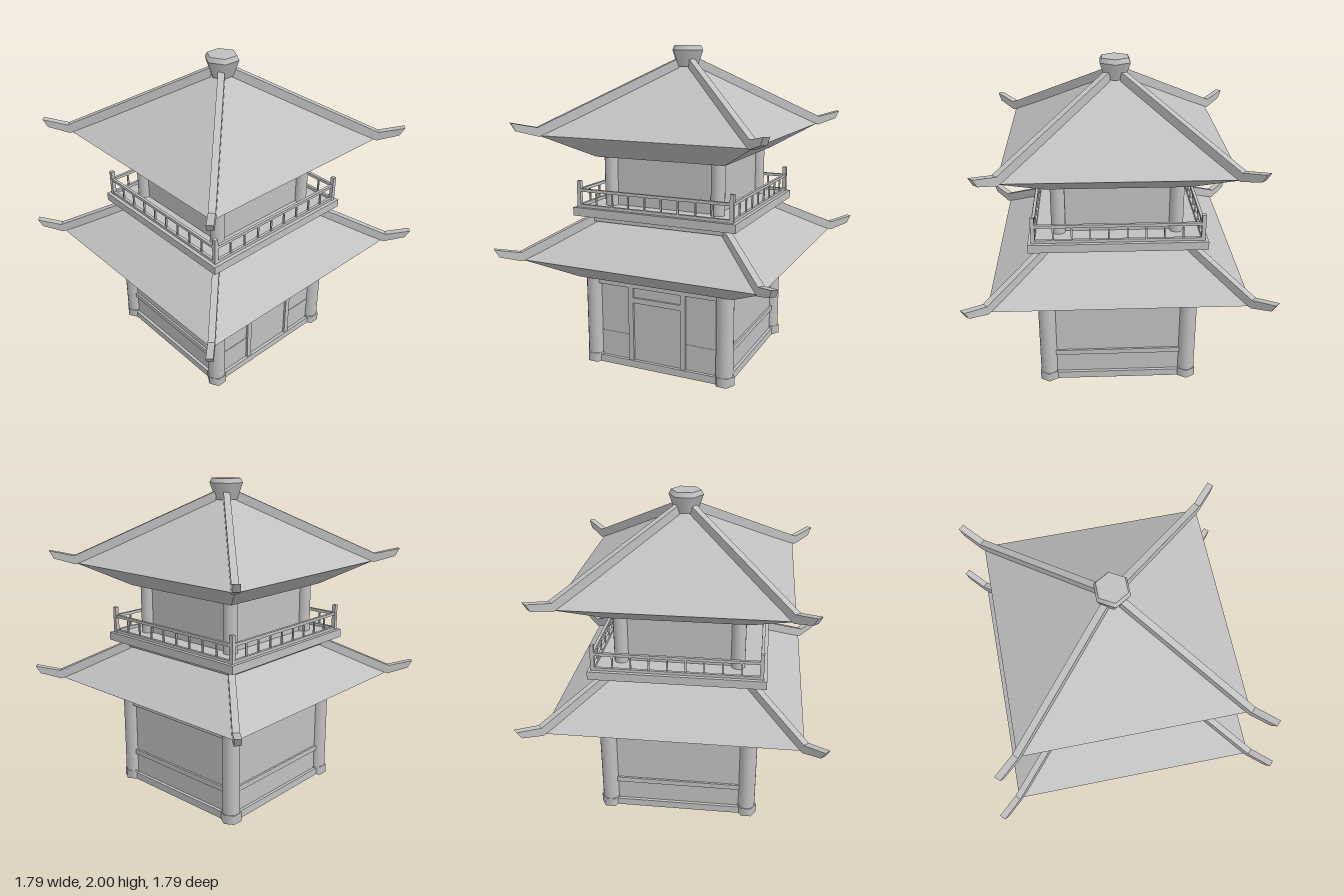
import * as THREE from 'three';

export function createModel() {
  const model = new THREE.Group();
  model.name = 'pavilion';
  const stone = new THREE.MeshStandardMaterial({ color: 0xc0c0c0 });
  stone.name = 'pale grey';

  const add = (parent, name, geometry, x = 0, y = 0, z = 0) => {
    const mesh = new THREE.Mesh(geometry, stone);
    mesh.name = name;
    mesh.position.set(x, y, z);
    parent.add(mesh);
    return mesh;
  };
  // box given by its bottom and top heights
  const box = (parent, name, w, y0, y1, d, x = 0, z = 0) =>
    add(parent, name, new THREE.BoxGeometry(w, y1 - y0, d), x, (y0 + y1) / 2, z);
  // upright cylinder given by its bottom and top heights
  const drum = (parent, name, rTop, rBottom, y0, y1, sides, x = 0, z = 0) => {
    const g = new THREE.CylinderGeometry(rTop, rBottom, y1 - y0, sides);
    g.rotateY(Math.PI / 6);
    return add(parent, name, g, x, (y0 + y1) / 2, z);
  };
  // flat-faced square frustum given by its half widths
  const frustum = (parent, name, top, bottom, y0, y1) => {
    let g = new THREE.CylinderGeometry(top * Math.SQRT2, bottom * Math.SQRT2, y1 - y0, 4);
    g.rotateY(Math.PI / 4);
    g = g.toNonIndexed();
    g.computeVertexNormals();
    return add(parent, name, g, 0, (y0 + y1) / 2, 0);
  };
  const group = (name, turn = 0, parent = model) => {
    const g = new THREE.Group();
    g.name = name;
    g.rotation.y = turn;
    parent.add(g);
    return g;
  };
  const corners = [[1, 1], [1, -1], [-1, -1], [-1, 1]];

  // Roof: sloping soffit, tiled top and four hip ridges with upturned tips
  const roof = (name, o) => {
    const g = group(name);
    frustum(g, 'soffit', o.eave, o.inner, o.bottom, o.eaveY);
    frustum(g, 'roofTop', o.top, o.eave, o.eaveY, o.topY);
    const profile = [
      [o.ridge, o.ridgeY - 0.02], [o.eave, o.eaveY - 0.005],
      [o.eave + 0.095, o.eaveY + 0.033], [o.eave + 0.115, o.eaveY + 0.082],
      [o.eave + 0.005, o.eaveY + 0.05], [o.ridge, o.ridgeY + 0.05],
    ].map(([x, y]) => new THREE.Vector2(x * Math.SQRT2, y));
    const hip = new THREE.ExtrudeGeometry(new THREE.Shape(profile), { depth: 0.04, bevelEnabled: false });
    hip.translate(0, 0, -0.02);
    for (let i = 0; i < 4; i++)
      add(g, 'hipRidge', hip).rotation.y = Math.PI / 4 + i * Math.PI / 2;
  };

  // Ground floor columns on six-sided feet
  const ground = group('groundFloor');
  const C = 0.445;
  for (const [sx, sz] of corners) {
    drum(ground, 'column', 0.054, 0.054, 0.04, 0.575, 16, sx * C, sz * C);
    drum(ground, 'columnFoot', 0.064, 0.064, 0, 0.058, 6, sx * C, sz * C);
  }
  // Ground floor walls, open underneath
  for (let i = 0; i < 4; i++) {
    const side = group(i ? 'plainWall' : 'doorWall', i * Math.PI / 2, ground);
    box(side, 'wallPanel', 0.86, 0.04, 0.55, 0.02, 0, C);
    box(side, 'sill', 0.84, 0, 0.047, 0.06, 0, C);
    box(side, 'headBeam', 0.84, 0.53, 0.575, 0.06, 0, C);
    if (i) {
      box(side, 'wallRail', 0.82, 0.18, 0.213, 0.045, 0, C);
    } else {
      for (const s of [-1, 1]) {
        box(side, 'doorPost', 0.033, 0.045, 0.535, 0.05, s * 0.178, C);
        box(side, 'wallRail', 0.22, 0.18, 0.213, 0.026, s * 0.3, C);
      }
      box(side, 'doorLintel', 0.33, 0.43, 0.465, 0.045, 0, C);
    }
  }

  roof('lowerRoof', {
    eave: 0.765, inner: 0.515, bottom: 0.57, eaveY: 0.72,
    top: 0.43, topY: 0.933, ridge: 0.42, ridgeY: 0.935,
  });

  // Balcony deck and railings
  const balcony = group('balcony');
  box(balcony, 'deckSupport', 0.92, 0.928, 0.975, 0.92);
  box(balcony, 'deck', 1.07, 0.97, 1.022, 1.07);
  for (const [sx, sz] of corners)
    box(balcony, 'cornerPost', 0.024, 1.02, 1.188, 0.024, sx * 0.503, sz * 0.503);
  for (let i = 0; i < 4; i++) {
    const side = group('railing', i * Math.PI / 2, balcony);
    box(side, 'handRail', 1, 1.12, 1.138, 0.018, 0, 0.503);
    box(side, 'footRail', 1, 1.02, 1.04, 0.018, 0, 0.503);
    for (let k = 0; k < 8; k++)
      box(side, 'baluster', 0.01, 1.03, 1.125, 0.01, (k - 3.5) * 0.11, 0.503);
  }

  // Upper floor
  const upper = group('upperFloor');
  box(upper, 'upperWalls', 0.71, 1.02, 1.335, 0.71);
  for (const [sx, sz] of corners)
    drum(upper, 'upperColumn', 0.043, 0.043, 1.02, 1.335, 16, sx * 0.357, sz * 0.357);

  roof('upperRoof', {
    eave: 0.67, inner: 0.425, bottom: 1.33, eaveY: 1.475,
    top: 0.01, topY: 1.895, ridge: 0.045, ridgeY: 1.872,
  });

  // Six-sided finial
  const finial = group('finial');
  drum(finial, 'finialCup', 0.106, 0.07, 1.87, 1.972, 6);
  drum(finial, 'finialCap', 0.092, 0.106, 1.972, 2, 6);

  return model;
}
